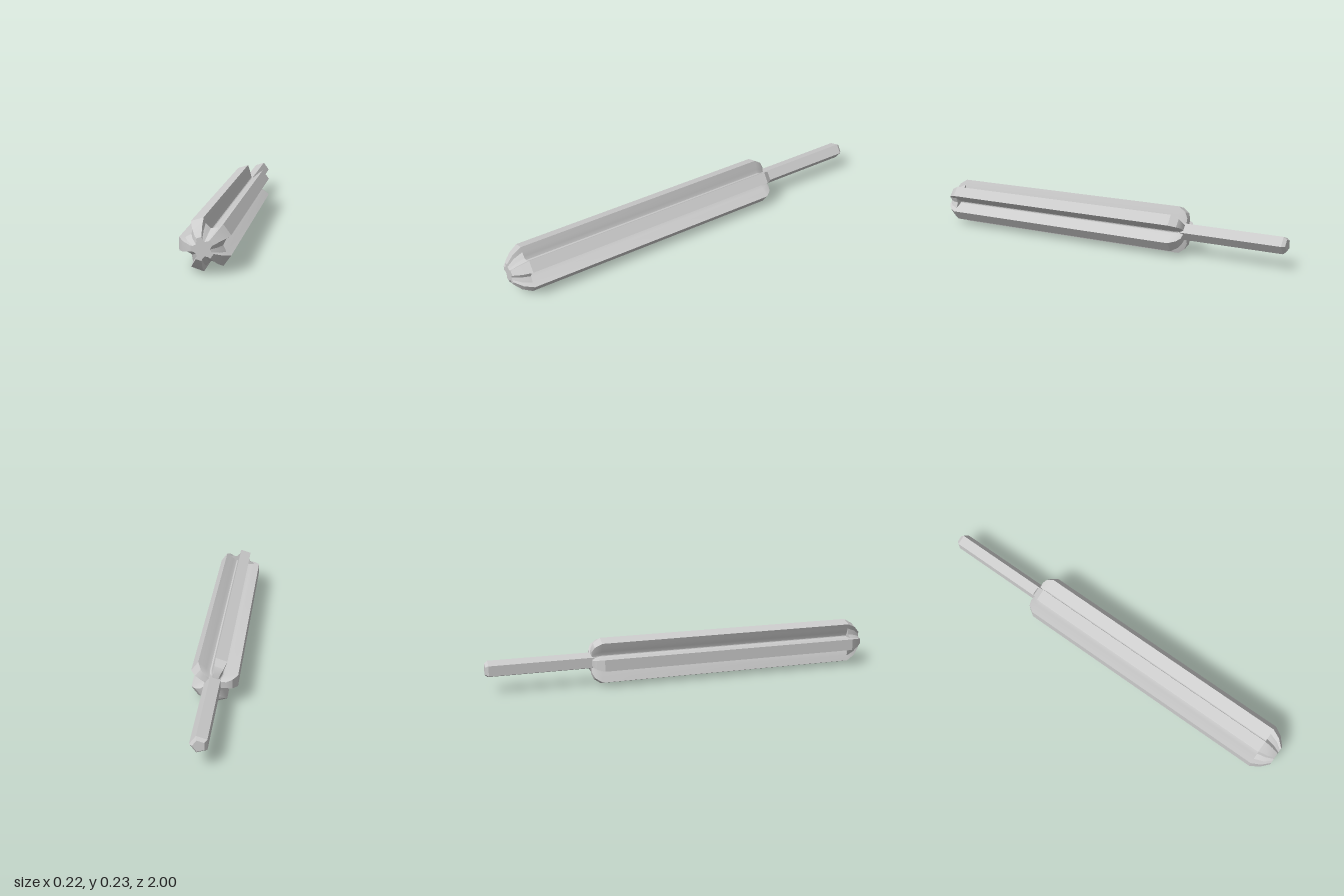
import * as THREE from 'three';
import { toCreasedNormals } from 'three/addons/utils/BufferGeometryUtils.js';

const SIDES = 5;
const STEP = (Math.PI * 2) / SIDES;
const RIB = Math.hypot(0.114, 0.029);
const CORNER = STEP / 2 - Math.atan2(0.029, 0.114);

// Repeats [radius, angle] points around the axis
function radialSection(points) {
  const section = [];
  for (let i = 0; i < SIDES; i++) {
    for (const [r, a] of points) {
      section.push([r * Math.cos(a + i * STEP), r * Math.sin(a + i * STEP)]);
    }
  }
  return section;
}

// Star section: flat-topped ribs, bevelled lips and a curved groove of given floor radius
function flutedSection(floor, power) {
  const points = [[RIB, -CORNER]];
  for (let k = -4; k <= 4; k++) {
    const u = k / 4;
    points.push([floor + (0.092 - floor) * Math.abs(u) ** power, 0.31 * u]);
  }
  points.push([RIB, CORNER]);
  return radialSection(points);
}

// Lofts through [z, scale, section] stations (rear to front) and caps both ends
function loft(stations, crease) {
  const n = stations[0][2].length;
  const pos = [];
  const index = [];
  for (const [z, s, section] of stations) {
    for (const [x, y] of section) pos.push(x * s, y * s, z);
  }
  const last = stations.length - 1;
  const rear = pos.length / 3;
  pos.push(0, 0, stations[0][0], 0, 0, stations[last][0]);
  for (let i = 0; i < n; i++) {
    const j = (i + 1) % n;
    for (let k = 0; k < last * n; k += n) {
      index.push(k + i, k + j, k + j + n, k + i, k + j + n, k + i + n);
    }
    index.push(rear, j, i, rear + 1, last * n + i, last * n + j);
  }
  const geometry = new THREE.BufferGeometry();
  geometry.setAttribute('position', new THREE.Float32BufferAttribute(pos, 3));
  geometry.setIndex(index);
  return toCreasedNormals(geometry, crease);
}

export function createModel() {
  const group = new THREE.Group();
  group.name = 'tool';
  const material = new THREE.MeshStandardMaterial({ color: 0xcccccc });

  // Fluted handle: deep grooves stop at a step behind the shallower front cap
  const deep = flutedSection(0.05, 2.5);
  const shallow = flutedSection(0.075, 1.3);
  const handle = new THREE.Mesh(
    loft([
      [-0.478, 0.55, deep], [-0.465, 0.79, deep], [-0.43, 1, deep], [0.92, 1, deep],
      [0.92, 1, shallow], [0.965, 0.78, shallow], [1, 0.44, shallow],
    ], 0.45),
    material
  );
  handle.name = 'flutedHandle';
  group.add(handle);

  // Five-sided shank with a bevelled tip
  const pentagon = radialSection([[0.0435, 0]]);
  const shank = new THREE.Mesh(
    loft([[-1, 0.68, pentagon], [-0.985, 1, pentagon], [-0.43, 1, pentagon]], 0.3),
    material
  );
  shank.name = 'shank';
  group.add(shank);

  // Centre on x and rest the lowest rib corner on the ground
  for (const part of group.children) {
    part.position.set(0.0024, RIB * Math.sin(STEP + CORNER), 0);
  }
  return group;
}
